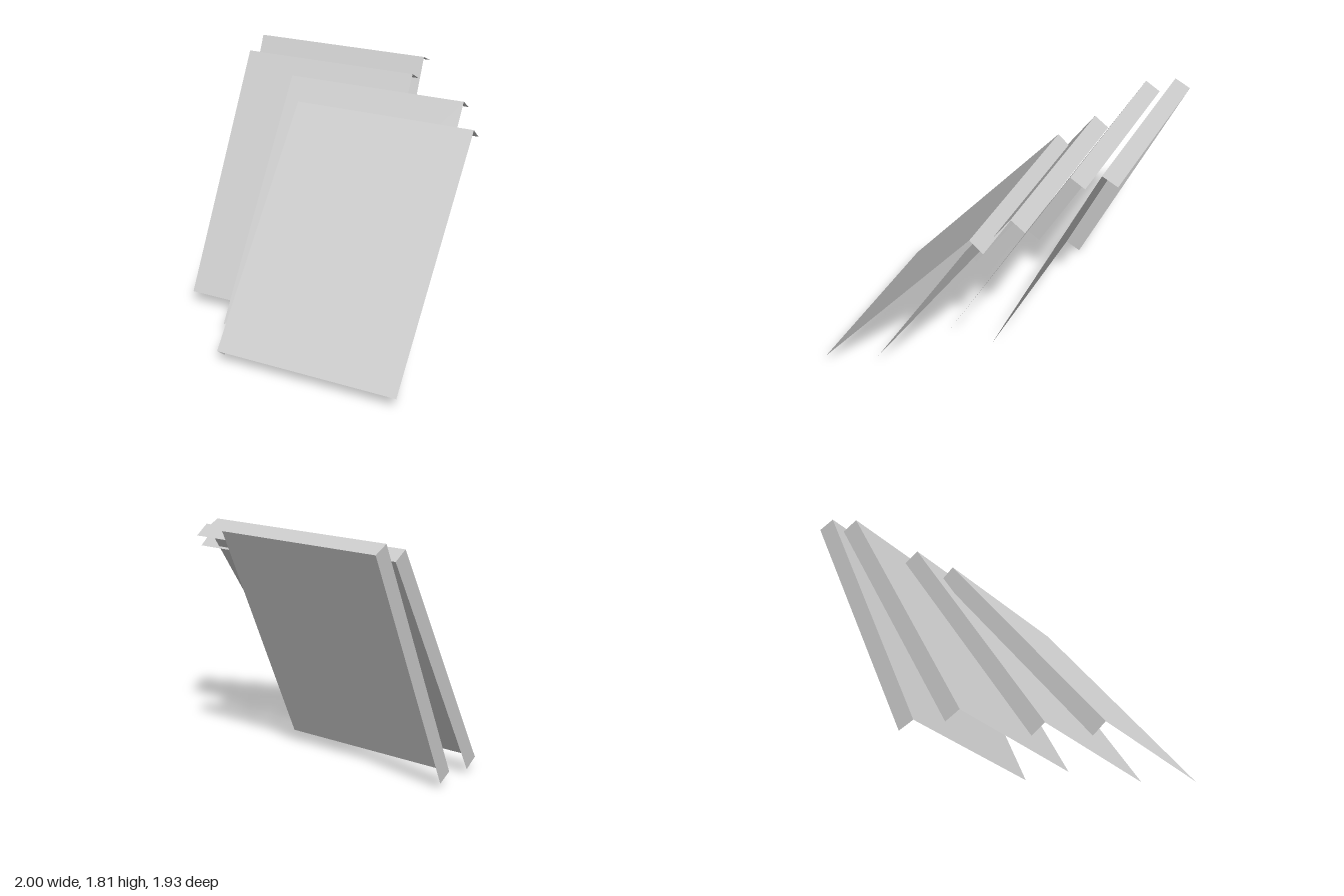
import * as THREE from 'three';

const WIDTH = 1.36, LENGTH = 1.893, THICK = 0.123;

// Open panel shell: front sheet, top edge and right edge; origin at the lower front edge.
function makePanel(material) {
  const panel = new THREE.Group();
  const add = (name, geometry) => {
    const mesh = new THREE.Mesh(geometry, material);
    mesh.name = name;
    panel.add(mesh);
  };
  add('frontSheet', new THREE.PlaneGeometry(WIDTH, LENGTH).translate(0, LENGTH / 2, 0));
  add('topEdge', new THREE.PlaneGeometry(WIDTH, THICK)
    .rotateX(-Math.PI / 2).translate(0, LENGTH, -THICK / 2));
  add('rightEdge', new THREE.PlaneGeometry(THICK, LENGTH)
    .rotateY(-Math.PI / 2).translate(-WIDTH / 2, LENGTH / 2, -THICK / 2));
  return panel;
}

export function createModel() {
  const model = new THREE.Group();
  model.name = 'leaningPanels';
  const material = new THREE.MeshStandardMaterial({
    color: 0xcccccc, flatShading: true, side: THREE.DoubleSide,
  });

  // Four panels leaning back, front to rear: centre x, lower edge y and z, lean in degrees
  const panels = [
    [0.32, 0.08, 0.963, 39.4],
    [0.16, 0.092, 0.614, 34.0],
    [-0.315, 0.09, 0.283, 29.1],
    [-0.32, 0.093, -0.067, 24.5],
  ];
  panels.forEach(([x, y, z, lean], i) => {
    const panel = makePanel(material);
    panel.name = `leaningPanel${i + 1}`;
    panel.position.set(x, y, z);
    panel.rotation.x = -THREE.MathUtils.degToRad(lean);
    model.add(panel);
  });
  return model;
}
